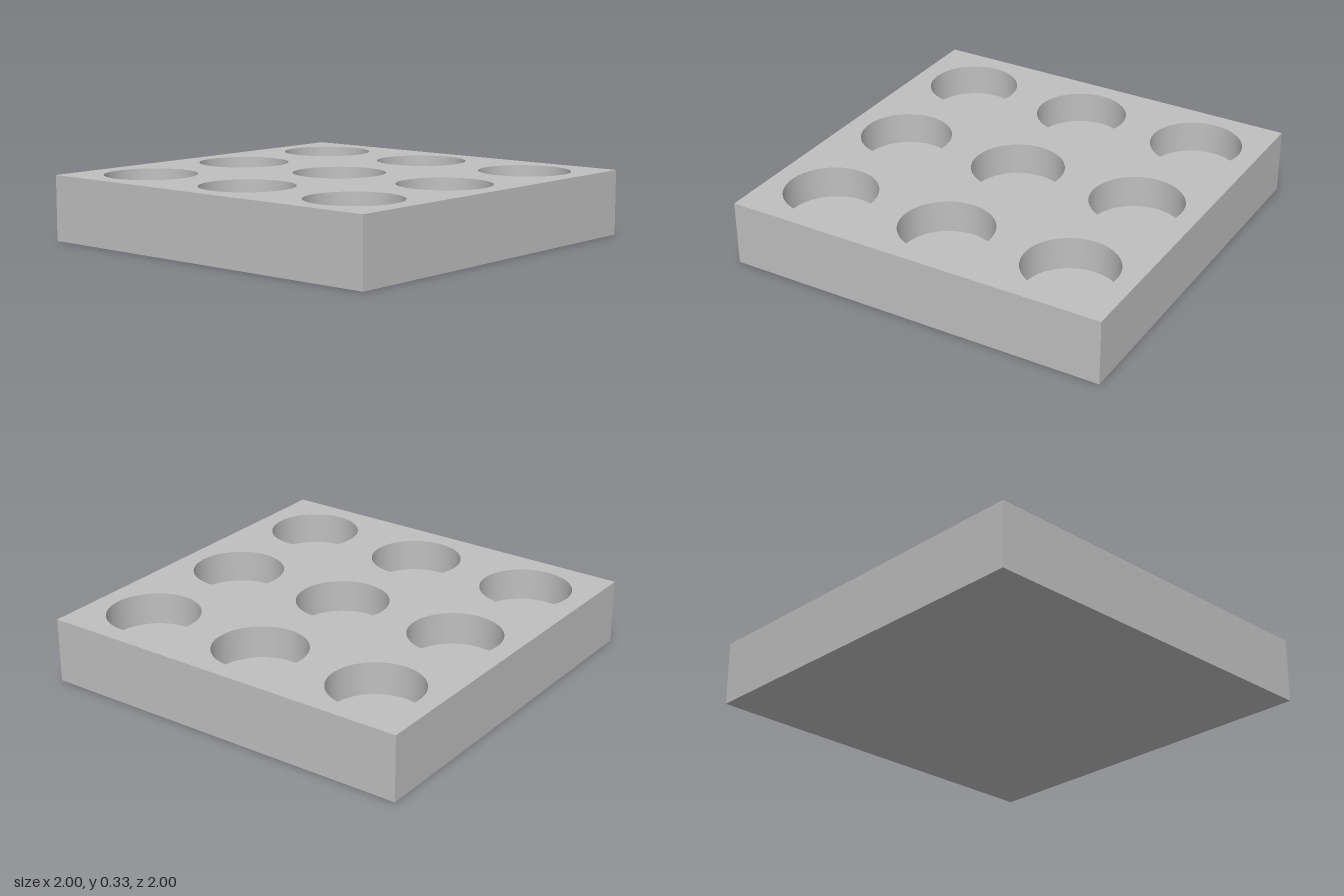
import * as THREE from 'three';

const HEIGHT = 1 / 3;
const FLOOR = 1 / 6;
const RADIUS = 0.235;
const PITCH = 2 / 3;
const SEGMENTS = 64;

export function createModel() {
  const grey = new THREE.MeshStandardMaterial({ color: 0xbfbfbf });
  grey.name = 'plain grey';
  const group = new THREE.Group();
  group.name = 'tray';

  const add = (geometry, name, x = 0, y = 0, z = 0) => {
    const mesh = new THREE.Mesh(geometry, grey);
    mesh.name = name;
    mesh.position.set(x, y, z);
    group.add(mesh);
  };

  // Block sides and underside: a box without its top face
  const block = new THREE.BoxGeometry(2, HEIGHT, 2);
  const index = Array.from(block.index.array);
  index.splice(12, 6);
  block.setIndex(index);
  block.clearGroups();
  add(block, 'block', 0, HEIGHT / 2, 0);

  // Top face outline, pierced below by a three by three grid
  const top = new THREE.Shape([
    new THREE.Vector2(-1, -1), new THREE.Vector2(1, -1),
    new THREE.Vector2(1, 1), new THREE.Vector2(-1, 1),
  ]);

  // Pocket wall faces inward because its profile runs downward
  const wall = new THREE.LatheGeometry(
    [new THREE.Vector2(RADIUS, HEIGHT), new THREE.Vector2(RADIUS, FLOOR)], SEGMENTS);
  const floor = new THREE.CircleGeometry(RADIUS, SEGMENTS).rotateX(-Math.PI / 2);

  for (const x of [-PITCH, 0, PITCH]) {
    for (const z of [-PITCH, 0, PITCH]) {
      top.holes.push(new THREE.Path().absarc(x, -z, RADIUS, 0, Math.PI * 2, true));
      add(wall, 'pocketWall', x, 0, z);
      add(floor, 'pocketFloor', x, FLOOR, z);
    }
  }

  add(new THREE.ShapeGeometry(top, SEGMENTS / 2).rotateX(-Math.PI / 2), 'topFace', 0, HEIGHT, 0);
  return group;
}
